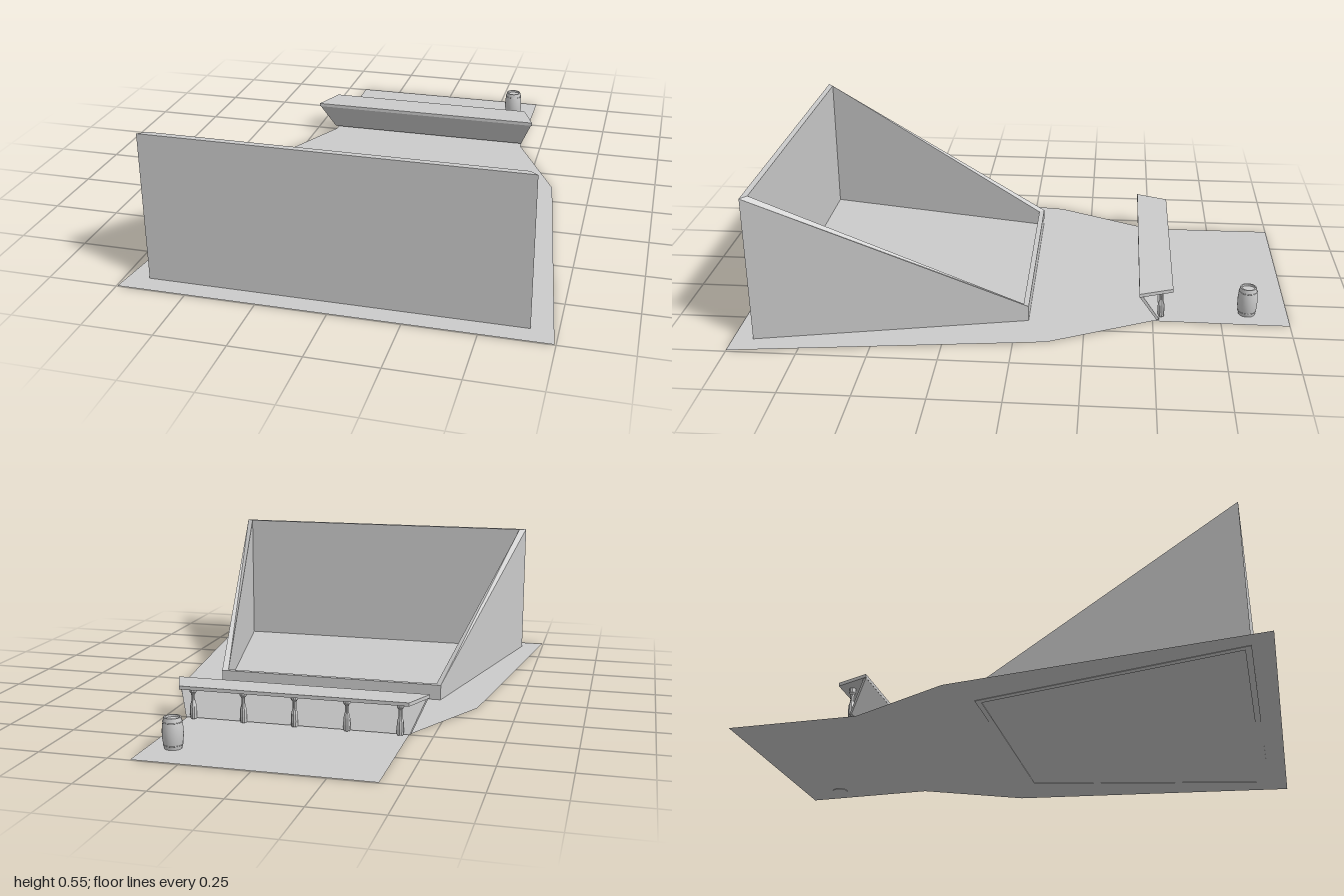
import * as THREE from 'three';

const flat = new THREE.MeshStandardMaterial({ color: 0xcccccc, flatShading: true, side: THREE.DoubleSide });
const smooth = new THREE.MeshStandardMaterial({ color: 0xcccccc, side: THREE.DoubleSide });

function part(name, geometry, material = flat) {
  const mesh = new THREE.Mesh(geometry, material);
  mesh.name = name;
  return mesh;
}

// Skin a row of four-point sections; the row is either closed into a ring or capped.
function loft(sections, ring) {
  const pos = [];
  const quad = (a, b, c, d) => [a, b, c, a, c, d].forEach((p) => pos.push(...p));
  const n = sections.length;
  for (let i = 0; i < (ring ? n : n - 1); i++) {
    const s = sections[i], t = sections[(i + 1) % n];
    for (let j = 0; j < 4; j++) quad(s[j], t[j], t[(j + 1) % 4], s[(j + 1) % 4]);
  }
  if (!ring) {
    quad(...sections[0]);
    quad(...[...sections[n - 1]].reverse());
  }
  const geo = new THREE.BufferGeometry();
  geo.setAttribute('position', new THREE.Float32BufferAttribute(pos, 3));
  geo.computeVertexNormals();
  return geo;
}

// Horizontal trapezoid loop, symmetric in x
const trapezoid = (y, back, backX, front, frontX) => [
  [backX, y, back], [frontX, y, front], [-frontX, y, front], [-backX, y, back],
];

const lathe = (points, sides) =>
  new THREE.LatheGeometry(points.map(([r, y]) => new THREE.Vector2(r, y)), sides);

export function createModel() {
  const model = new THREE.Group();
  model.name = 'walledStand';

  // Thin floor sheet, outline given as half width and z
  const half = [[0.745, 1], [0.6, -0.12], [0.415, -0.5], [0.418, -1]];
  const outline = [...half, ...half.map(([x, z]) => [-x, z]).reverse()];
  const floorGeo = new THREE.ShapeGeometry(
    new THREE.Shape(outline.map(([x, z]) => new THREE.Vector2(x, -z))));
  floorGeo.rotateX(-Math.PI / 2);
  floorGeo.translate(0, 0.002, 0);
  model.add(part('floor', floorGeo));

  // Four walls around a trapezoid, tall at the front and sloping down to the back
  const outer = trapezoid(0, -0.045, 0.447, 0.927, 0.66);
  const inner = trapezoid(0, -0.025, 0.427, 0.905, 0.632);
  const tops = [0.06, 0.545, 0.545, 0.06];
  const walls = outer.map(([ox, , oz], i) => {
    const [ix, , iz] = inner[i];
    const y = tops[i];
    return [[ix, 0, iz], [ix, y, iz], [ox, y, oz], [ox, 0, oz]];
  });
  model.add(part('slopingWalls', loft(walls, true)));

  // Counter: top board, leaning front panel and a row of turned posts
  const counter = new THREE.Group();
  counter.name = 'counter';
  counter.position.x = -0.004;
  counter.add(part('counterTop', loft([
    trapezoid(0.124, -0.57, 0.422, -0.447, 0.472),
    trapezoid(0.137, -0.57, 0.422, -0.447, 0.472),
  ])));
  counter.add(part('counterPanel', loft([
    trapezoid(0.008, -0.524, 0.416, -0.514, 0.42),
    trapezoid(0.125, -0.459, 0.463, -0.447, 0.468),
  ])));
  const postGeo = lathe([
    [0, 0.008], [0.012, 0.008], [0.013, 0.03], [0.012, 0.055], [0.007, 0.075],
    [0.007, 0.1], [0.013, 0.108], [0.013, 0.125], [0, 0.125],
  ], 10);
  for (let i = -2; i <= 2; i++) {
    const post = part('counterPost', postGeo);
    post.position.set(i * 0.192, 0, -0.53);
    counter.add(post);
  }
  model.add(counter);

  // Barrel with a recessed lid and two hoops
  const barrel = new THREE.Group();
  barrel.name = 'barrel';
  barrel.position.set(0.328, 0, -0.85);
  const bulge = (y) => 0.037 - 0.007 * ((y - 0.056) / 0.056) ** 2;
  const staves = [];
  for (let i = 0; i <= 8; i++) staves.push([bulge(i * 0.014), i * 0.014]);
  barrel.add(part('barrelBody', lathe(staves, 20), smooth));
  barrel.add(part('barrelRim', lathe(
    [[0.03, 0.112], [0.025, 0.112], [0.025, 0.104], [0, 0.104]], 20)));
  barrel.add(part('barrelBase', lathe([[0, 0], [0.03, 0]], 20)));
  for (const y of [0.016, 0.096]) {
    const hoop = part('barrelHoop', new THREE.TorusGeometry(bulge(y), 0.0015, 6, 24), smooth);
    hoop.rotation.x = Math.PI / 2;
    hoop.position.y = y;
    barrel.add(hoop);
  }
  model.add(barrel);

  return model;
}
